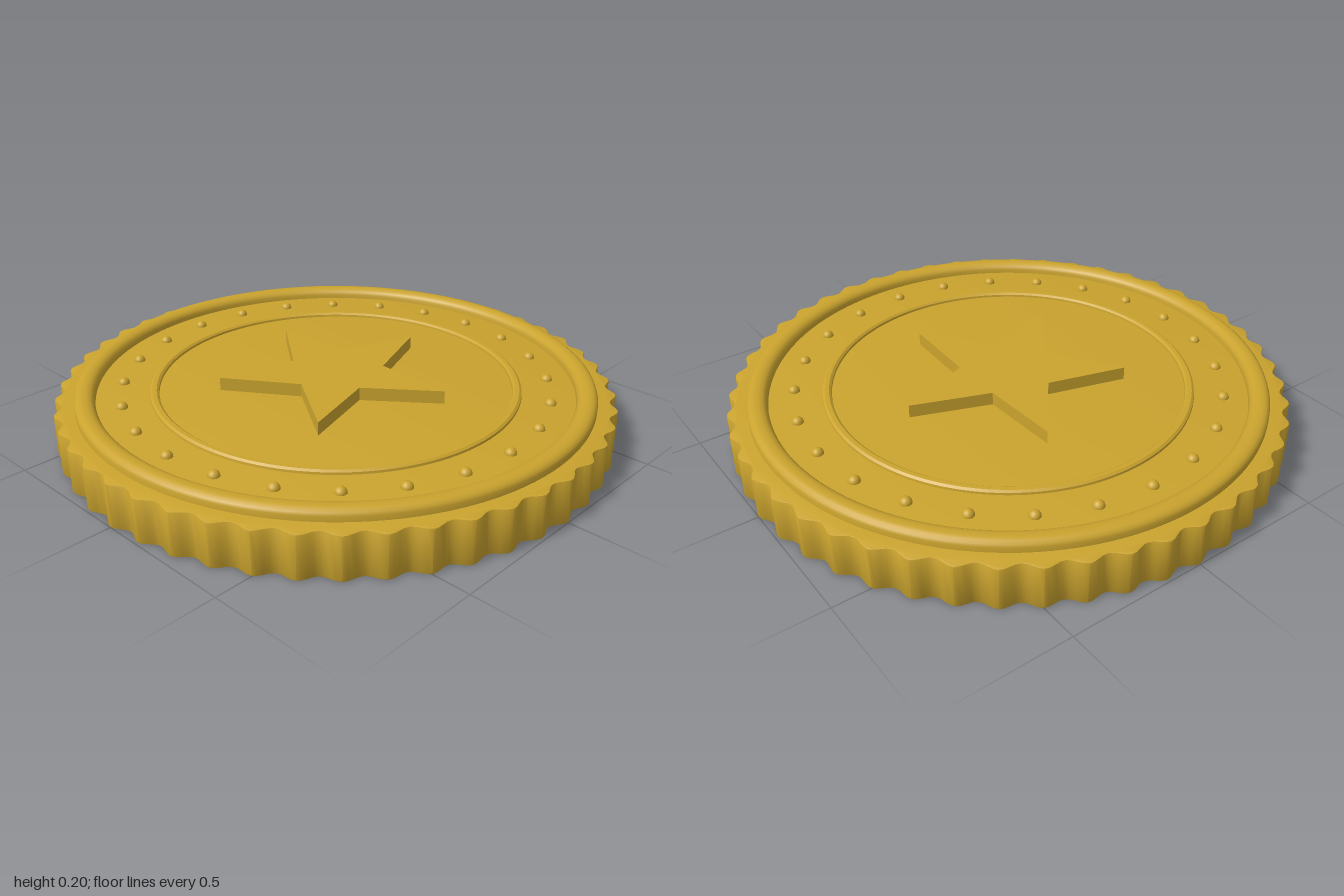
import * as THREE from 'three';
import { toCreasedNormals } from 'three/addons/utils/BufferGeometryUtils.js';

const TOP = 0.157; // height of the coin's face

export function createModel() {
  const coin = new THREE.Group();
  coin.name = 'coin';
  const gold = new THREE.MeshStandardMaterial({ color: 0xcaa32e });
  gold.name = 'gold';

  const add = (name, geometry, parent = coin) => {
    const mesh = new THREE.Mesh(geometry, gold);
    mesh.name = name;
    parent.add(mesh);
    return mesh;
  };

  // Extrudes a flat outline upwards from height y
  const slab = (points, y, depth, bevel = 0) => {
    const g = new THREE.ExtrudeGeometry(new THREE.Shape(points), {
      depth: depth - 2 * bevel, bevelEnabled: bevel > 0, bevelThickness: bevel,
      bevelSize: bevel, bevelOffset: -bevel, bevelSegments: 2,
    });
    g.rotateX(-Math.PI / 2);
    return g.translate(0, y + bevel, 0);
  };

  const polar = (r, a) => new THREE.Vector2(r * Math.cos(a), r * Math.sin(a));

  // Raised ring from an outer-to-inner profile of [radius, height]
  const ring = (profile) => {
    const pts = profile.map(([r, y]) => new THREE.Vector2(r, y));
    return toCreasedNormals(new THREE.LatheGeometry(pts, 128), 0.6);
  };

  // Scalloped body
  const outline = [];
  for (let i = 0; i < 384; i++) {
    const a = (i / 384) * Math.PI * 2;
    outline.push(polar(0.987 + 0.013 * Math.cos(48 * a), a));
  }
  add('body', toCreasedNormals(slab(outline, 0, TOP, 0.004), 0.6));

  // Outer rim and thin inner ring
  add('rim', ring([
    [0.93, TOP - 0.01], [0.93, 0.176], [0.926, 0.185], [0.917, 0.192], [0.905, 0.195],
    [0.887, 0.195], [0.873, 0.191], [0.863, 0.183], [0.858, 0.172], [0.858, TOP - 0.01],
  ]));
  add('innerRing', ring([
    [0.67, TOP - 0.005], [0.668, TOP + 0.008], [0.66, TOP + 0.014],
    [0.645, TOP + 0.014], [0.637, TOP + 0.008], [0.635, TOP - 0.005],
  ]));

  // Five-pointed star, one point towards the back
  const star = [];
  for (let i = 0; i < 10; i++) {
    star.push(polar(i % 2 ? 0.175 : 0.42, Math.PI / 2 + (i * Math.PI) / 5));
  }
  add('star', slab(star, TOP - 0.005, 0.053));

  // Circle of small beads between the rings
  const beads = new THREE.Group();
  beads.name = 'beads';
  coin.add(beads);
  const bead = new THREE.SphereGeometry(0.021, 16, 10);
  for (let i = 0; i < 24; i++) {
    const p = polar(0.77, (i / 24) * Math.PI * 2);
    add('bead', bead, beads).position.set(p.x, TOP, p.y);
  }

  return coin;
}
